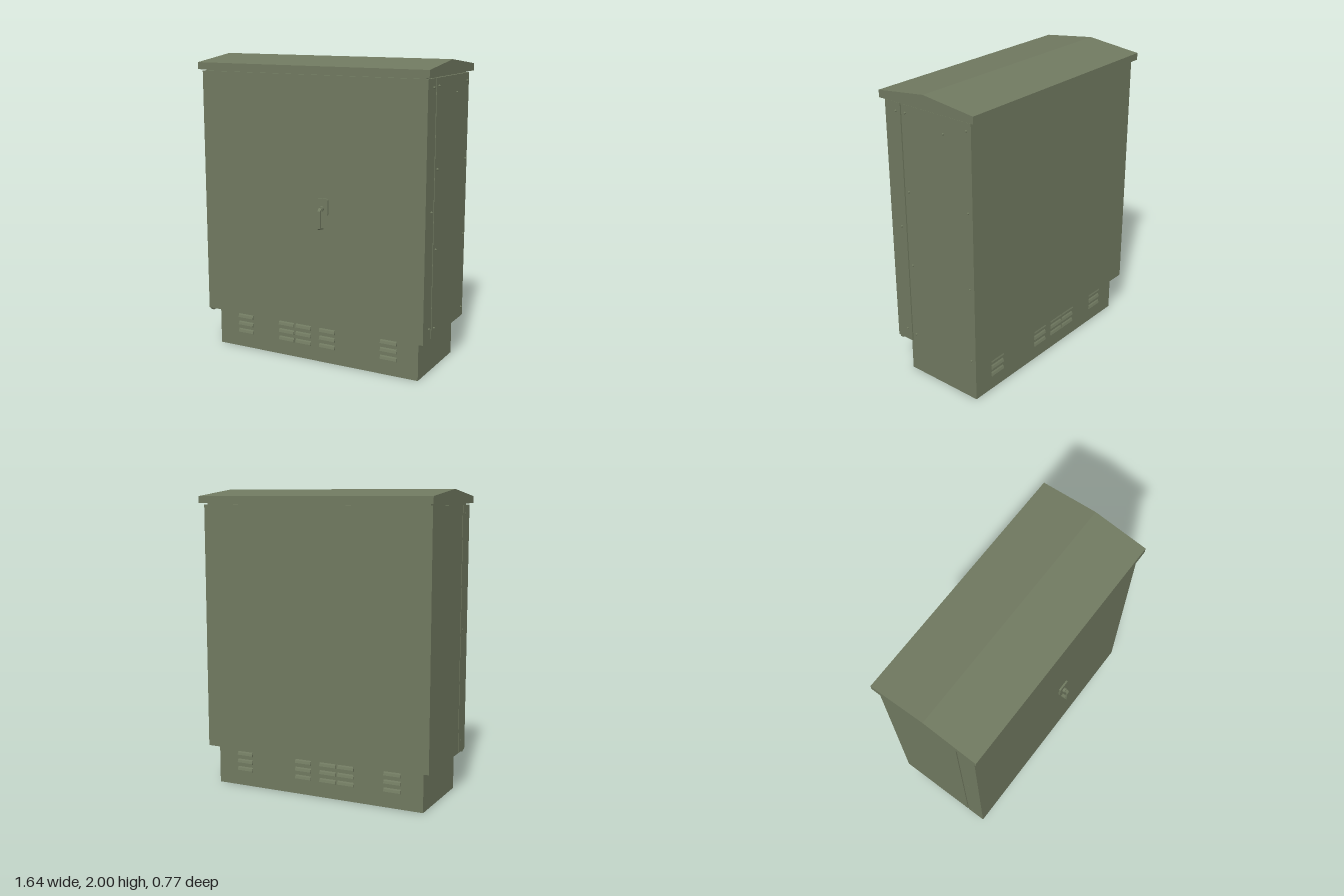
import * as THREE from 'three';

export function createModel() {
  const cabinet = new THREE.Group();
  cabinet.name = 'outdoorCabinet';
  const olive = new THREE.MeshStandardMaterial({ color: 0x707960 });
  olive.name = 'olive green paint';

  function add(name, geometry, x = 0, y = 0, z = 0, parent = cabinet) {
    const mesh = new THREE.Mesh(geometry, olive);
    mesh.name = name;
    mesh.position.set(x, y, z);
    parent.add(mesh);
    return mesh;
  }
  // Box given by its min and max along each axis
  function box(name, x0, x1, y0, y1, z0, z1, parent) {
    return add(name, new THREE.BoxGeometry(x1 - x0, y1 - y0, z1 - z0),
      (x0 + x1) / 2, (y0 + y1) / 2, (z0 + z1) / 2, parent);
  }
  // Side profile of [z, y] points, extruded along x and centred on x = 0
  function profile(points, width) {
    const shape = new THREE.Shape(points.map(([z, y]) => new THREE.Vector2(-z, y)));
    const g = new THREE.ExtrudeGeometry(shape, { depth: width, bevelEnabled: false });
    return g.translate(0, 0, -width / 2).rotateY(Math.PI / 2);
  }

  // Plinth, body and door, with a narrow recessed seam between body and door
  box('plinth', -0.75, 0.745, 0, 0.27, -0.295, 0.275);
  box('body', -0.803, 0.8, 0.265, 1.9, -0.345, 0.203);
  box('seamCore', -0.785, 0.782, 0.27, 1.91, -0.33, 0.32);
  box('door', -0.803, 0.8, 0.265, 1.9, 0.212, 0.337);

  // Shallow gabled roof with upright eaves
  add('roof', profile([[-0.38, 1.91], [0.365, 1.91], [0.365, 1.956],
    [0, 2], [-0.38, 1.956]], 1.638));

  // Small lugs under the door corners
  for (const side of [-1, 1]) {
    add('doorLug', profile([[0.333, 0.266], [0.325, 0.25], [0.305, 0.25], [0.295, 0.266]], 0.022),
      side * 0.785);
  }
  box('doorBottomLip', -0.78, 0.78, 0.258, 0.266, 0.205, 0.3);

  // Pressed ventilation louvres, front and back
  const louvre = profile([[-0.003, 0], [0.012, 0], [0.012, 0.006], [0.006, 0.022], [-0.003, 0.034]], 0.115);
  for (const side of [1, -1]) {
    const vents = new THREE.Group();
    vents.name = side > 0 ? 'frontVents' : 'backVents';
    vents.position.z = side > 0 ? 0.275 : -0.295;
    if (side < 0) vents.rotation.y = Math.PI;
    cabinet.add(vents);
    for (const x of [-0.54, -0.215, -0.085, 0.095, 0.54]) {
      for (const y of [0.1, 0.153, 0.206]) add('louvre', louvre, x * side, y, 0, vents);
    }
  }

  // Lock plate and swing handle
  const handle = new THREE.Group();
  handle.name = 'handleAssembly';
  cabinet.add(handle);
  const r = 0.012, w = 0.043, h = 0.053;
  const plateShape = new THREE.Shape();
  plateShape.moveTo(-w + r, -h).lineTo(w - r, -h).quadraticCurveTo(w, -h, w, -h + r)
    .lineTo(w, h - r).quadraticCurveTo(w, h, w - r, h)
    .lineTo(-w + r, h).quadraticCurveTo(-w, h, -w, h - r)
    .lineTo(-w, -h + r).quadraticCurveTo(-w, -h, -w + r, -h);
  add('lockPlate', new THREE.ExtrudeGeometry(plateShape,
    { depth: 0.013, bevelEnabled: false, curveSegments: 4 }), 0.097, 1.074, 0.336, handle);
  add('lockHub', new THREE.CylinderGeometry(0.018, 0.018, 0.02, 20).rotateX(Math.PI / 2),
    0.095, 1.062, 0.356, handle);
  add('handleBar', profile([[0.35, 1.07], [0.366, 1.068], [0.386, 1.05], [0.386, 0.938],
    [0.379, 0.93], [0.342, 0.926], [0.342, 0.936], [0.374, 0.942], [0.374, 1.045],
    [0.36, 1.055], [0.35, 1.055]], 0.02), 0.095, 0, 0, handle);

  // Bolt heads on the left flank as [z, y]
  const bolt = new THREE.CylinderGeometry(0.006, 0.008, 0.012, 10).rotateZ(-Math.PI / 2);
  const bolts = [[-0.13, 1.79], [0.25, 1.845], [0.25, 1.09], [0.25, 0.345]];
  for (const y of [1.85, 1.345, 0.84, 0.33]) bolts.push([0.17, y], [-0.31, y]);
  for (const [z, y] of bolts) add('bolt', bolt, 0.804, y, z);

  // Flat door screws on the right flank
  const screw = new THREE.CylinderGeometry(0.007, 0.007, 0.006, 10).rotateZ(Math.PI / 2);
  for (const y of [1.845, 1.09, 0.345]) add('doorScrew', screw, -0.803, y, 0.25);

  return cabinet;
}
